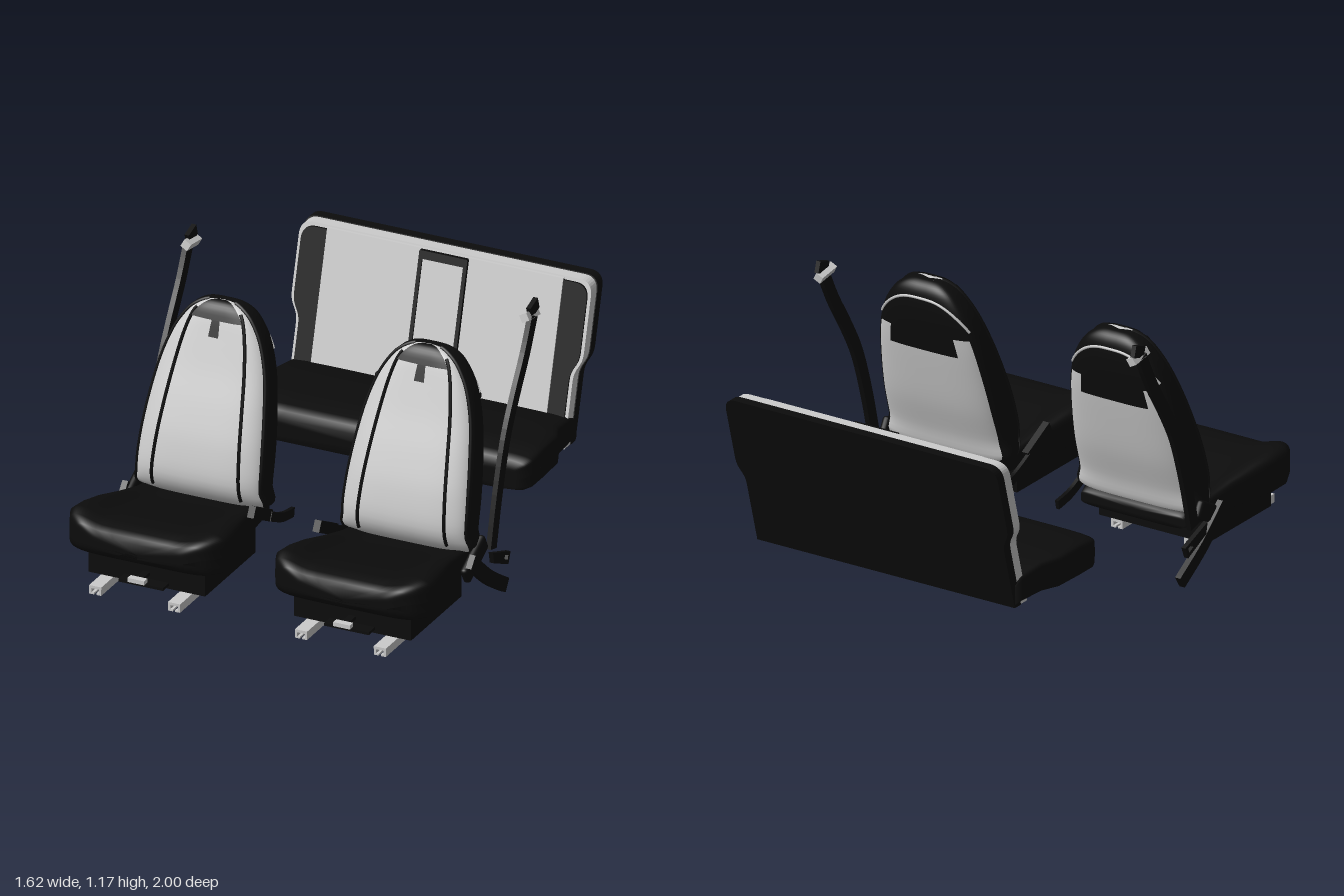
import * as THREE from 'three';
import { RoundedBoxGeometry } from 'three/addons/geometries/RoundedBoxGeometry.js';

const mat = (color) => new THREE.MeshStandardMaterial({ color, side: THREE.DoubleSide });
const GREY = mat(0xcccccc), BLACK = mat(0x0c0c0c);

function add(parent, name, geo, material, x = 0, y = 0, z = 0) {
  const m = new THREE.Mesh(geo, material);
  m.name = name;
  m.position.set(x, y, z);
  parent.add(m);
  return m;
}
const box = (w, h, d) => new THREE.BoxGeometry(w, h, d);
const pw = (v, e) => Math.sign(v) * Math.abs(v) ** e;

// Lofted body of superellipse sections; rows are [position, halfWidth, low, high]
function body(rows, e, place) {
  const cols = [0, 1, 2, 3].map((k) => new THREE.SplineCurve(rows.map((r, i) => new THREE.Vector2(i, r[k]))));
  return (a, t) => {
    const [s, w, lo, hi] = cols.map((c) => c.getPoint(t).y);
    return place(w * pw(Math.cos(a), e), s, (lo + hi) / 2 + ((hi - lo) / 2) * pw(Math.sin(a), e));
  };
}
// Piece of a body between two angles and two stations
function patch(f, a0, a1, t0, t1, na, nt) {
  const pos = [], idx = [];
  for (let j = 0; j <= nt; j++)
    for (let i = 0; i <= na; i++) {
      const p = f(a0 + ((a1 - a0) * i) / na, t0 + ((t1 - t0) * j) / nt);
      pos.push(p.x, p.y, p.z);
      if (i < na && j < nt) {
        const k = j * (na + 1) + i, n = k + na + 1;
        idx.push(k, n, k + 1, k + 1, n, n + 1);
      }
    }
  const g = new THREE.BufferGeometry();
  g.setAttribute('position', new THREE.Float32BufferAttribute(pos, 3));
  g.setIndex(idx);
  g.computeVertexNormals();
  return g;
}
function piping(n, r, fn) {
  const pts = Array.from({ length: n + 1 }, (_, i) => fn(i / n));
  return new THREE.TubeGeometry(new THREE.CatmullRomCurve3(pts), n * 2, r, 6);
}
// Flat strap following [z, y] points, thin in x
function strap(path, width, thick) {
  const c = new THREE.SplineCurve(path.map((p) => new THREE.Vector2(...p)));
  const n = path.length > 2 ? 20 : 1, left = [], right = [];
  for (let i = 0; i <= n; i++) {
    const p = c.getPoint(i / n), t = c.getTangent(i / n);
    const o = new THREE.Vector2(-t.y, t.x).multiplyScalar(width / 2);
    left.push(p.clone().add(o));
    right.unshift(p.clone().sub(o));
  }
  const g = new THREE.ExtrudeGeometry(new THREE.Shape([...left, ...right]), { depth: thick, bevelEnabled: false });
  return g.translate(0, 0, -thick / 2).rotateY(-Math.PI / 2);
}

const BACK = [[.27, 0, .34, .36], [.27, .28, .29, .41], [.36, .29, .265, .46], [.5, .285, .215, .44],
  [.65, .27, .175, .39], [.8, .245, .14, .33], [.92, .205, .12, .285], [1, .155, .118, .255],
  [1.04, .11, .13, .235], [1.06, .06, .155, .21], [1.06, 0, .18, .185]];
const CUSHION = [[.98, 0, .28, .3], [.98, .2, .24, .345], [.965, .28, .22, .365], [.935, .325, .2, .378],
  [.88, .35, .185, .385], [.8, .345, .18, .378], [.7, .325, .18, .362], [.58, .292, .18, .34],
  [.45, .27, .18, .315], [.32, .26, .19, .28], [.28, .25, .2, .26], [.28, 0, .22, .24]];
const BENCH = [[-.27, 0, .28, .29], [-.27, .62, .235, .335], [-.285, .66, .23, .365], [-.32, .678, .23, .38],
  [-.42, .68, .23, .392], [-.55, .675, .23, .388], [-.63, .64, .23, .38], [-.76, .63, .23, .362],
  [-.81, .63, .23, .34], [-.81, 0, .28, .29]];

// side = +1 or -1, the outer side of the car
function frontSeat(side) {
  const g = new THREE.Group();
  g.name = side > 0 ? 'leftFrontSeat' : 'rightFrontSeat';
  g.position.x = side * .462;
  const P = Math.PI, E = .6;

  // Cushion, hollowed between its bolsters
  const cushion = body(CUSHION, .35, (x, s, d) => new THREE.Vector3(
    x, d - (d > .28 ? .04 * (1 - THREE.MathUtils.smoothstep(Math.abs(x), .16, .32)) : 0), s));
  add(g, 'cushion', patch(cushion, 0, 2 * P, 0, 1, 72, CUSHION.length - 1), BLACK);

  // Backrest: grey front and rear panels, black sides and crown
  const back = body(BACK, E, (x, s, d) => new THREE.Vector3(x, s, d));
  const shifted = (dy, dz) => (a, t) => back(a, t).add(new THREE.Vector3(0, dy, dz));
  const A = .4, R = .55, T = .53;
  add(g, 'backrestFront', patch(back, A, P - A, .1, 1, 40, 40), GREY);
  add(g, 'backrestSideLeft', patch(back, -R, A, .1, 1, 16, 40), BLACK);
  add(g, 'backrestSideRight', patch(back, P - A, P + R, .1, 1, 16, 40), BLACK);
  add(g, 'backrestRear', patch(back, P + R, 2 * P - R, .1, T, 30, 20), GREY);
  add(g, 'backrestCrown', patch(back, P + R, 2 * P - R, T, 1, 30, 20), BLACK);
  add(g, 'backrestBottom', patch(back, 0, 2 * P, 0, .1, 40, 2), BLACK);
  add(g, 'rearFlap', patch(shifted(0, -.005), 1.5 * P - .5, 1.5 * P + .5, .47, .56, 12, 4), BLACK);
  add(g, 'crownPatch', patch(shifted(.004, .005), P / 2 - .6, P / 2 + .6, .69, .96, 12, 8), BLACK);
  add(g, 'crownTab', patch(shifted(.003, .005), P / 2 - .026, P / 2 + .026, .61, .7, 4, 4), BLACK);
  for (const s of [1, -1]) {
    add(g, 'outerPiping', piping(24, .008, (t) => back(s > 0 ? A : P - A, .12 + .78 * t)), BLACK);
    add(g, 'innerPiping', piping(24, .008, (t) => {
      const v = .15 + .62 * t, w = back(0, v).x, x = .197 - .1 * t ** 1.6;
      const a = Math.acos(Math.min(1, x / w) ** (1 / E));
      return back(s > 0 ? a : P - a, v);
    }), BLACK);
  }
  add(g, 'rearTrim', piping(16, .006, (t) => back(P + .4 + (P - .8) * t, .56 + .13 * Math.sin(P * t))), GREY);

  // Base, slide rails and release lever
  add(g, 'base', box(.525, .13, .46), BLACK, 0, .157, .66);
  for (const x of [-.177, .177]) {
    add(g, 'railTop', box(.055, .012, .57), GREY, x, .086, .715);
    for (const s of [-1, 1]) {
      add(g, 'railWall', box(.01, .035, .57), GREY, x + s * .022, .072, .715);
      add(g, 'railLip', box(.018, .008, .57), GREY, x + s * .014, .058, .715);
    }
  }
  add(g, 'lever', box(.075, .018, .03), GREY, 0, .146, .975);
  add(g, 'leverArm', box(.03, .014, .12), BLACK, 0, .142, .92);
  add(g, 'leverBar', box(.2, .012, .07), BLACK, 0, .112, .91);

  // Shoulder belt with its upper guide
  const ox = side * .31;
  add(g, 'shoulderBelt', strap([[-.12, 1.12], [-.05, .98], [.05, .82], [.13, .67], [.2, .46], [.255, .24]], .055, .022), BLACK, ox);
  add(g, 'beltTop', box(.02, .05, .07), BLACK, ox - side * .005, 1.148, -.133).rotation.x = .3;
  const guide = add(g, 'beltGuide', box(.035, .034, .105), GREY, ox - side * .012, 1.12, -.12);
  guide.rotation.set(-.15, 0, side * .5);

  // Outer anchor strap and latch with a slot
  add(g, 'anchorStrap', strap([[.46, .27], [.31, .14], [.15, .035]], .06, .026), BLACK, side * .318);
  const latch = new THREE.Shape([[.31, .25], [.3, .2], [.17, .14], [.15, .19]].map((p) => new THREE.Vector2(...p)));
  latch.holes.push(new THREE.Path([[.2, .195], [.17, .182], [.178, .163], [.208, .177]].map((p) => new THREE.Vector2(...p))));
  add(g, 'latch', new THREE.ExtrudeGeometry(latch, { depth: .02, bevelEnabled: false }).rotateY(-P / 2), BLACK, side * .335 + .01);
  add(g, 'reclinerCover', new RoundedBoxGeometry(.035, .08, .2, 2, .015), BLACK, side * .3, .25, .39).rotation.x = .5;

  // Inner buckle stalk
  const ix = -side * .325;
  add(g, 'buckle', strap([[.575, .345], [.42, .265]], .05, .03), BLACK, ix + side * .01);
  add(g, 'buckleStalk', strap([[.43, .265], [.32, .215], [.22, .195]], .04, .016), BLACK, ix);
  return g;
}

function rearBench() {
  const g = new THREE.Group();
  g.name = 'rearBench';
  const cushion = body(BENCH, .2, (x, s, d) => new THREE.Vector3(x, d, s));
  add(g, 'benchCushion', patch(cushion, 0, 2 * Math.PI, 0, 1, 64, BENCH.length - 1), BLACK);

  // Slab leaning backwards; z is measured from the rear face
  const lean = (geo) => {
    const p = geo.attributes.position;
    for (let i = 0; i < p.count; i++) p.setZ(i, p.getZ(i) - .81 - (p.getY(i) - .23) * .279);
    geo.computeVertexNormals();
    return geo;
  };
  const outline = (inset) => {
    const s = new THREE.Shape(), w = .66 - inset, l = .625 - inset, top = .91 - inset;
    s.moveTo(-l, .23);
    s.lineTo(l, .23);
    s.lineTo(l, .5);
    s.bezierCurveTo(l, .56, w, .56, w, .62);
    s.lineTo(w, top - .06);
    s.quadraticCurveTo(w, top, w - .06, top);
    s.lineTo(-w + .06, top);
    s.quadraticCurveTo(-w, top, -w, top - .06);
    s.lineTo(-w, .62);
    s.bezierCurveTo(-w, .56, -l, .56, -l, .5);
    return s;
  };
  const slab = (inset, z, depth) => lean(new THREE.ExtrudeGeometry(outline(inset), { depth, bevelEnabled: false, curveSegments: 8 }).translate(0, 0, z));
  const panel = (w, y0, y1, z, d) => lean(box(w, y1 - y0, d).translate(0, (y0 + y1) / 2, z));
  add(g, 'benchRearShell', slab(0, 0, .045), BLACK);
  add(g, 'benchGreyRim', slab(.004, .045, .05), GREY);
  add(g, 'benchSidePanels', slab(.018, .095, .008), BLACK);
  add(g, 'benchFrontPanel', panel(1.06, .3, .9, .099, .016), GREY);

  // Centre armrest in a black frame
  add(g, 'armrestPanel', panel(.19, .4, .88, .108, .014), GREY);
  for (const s of [-1, 1]) add(g, 'armrestFrame', panel(.016, .38, .895, .11, .024), BLACK, s * .1);
  add(g, 'armrestTop', panel(.212, .865, .898, .11, .024), BLACK);
  add(g, 'armrestHinge', panel(.23, .35, .415, .115, .035), BLACK);
  for (const s of [-1, 1]) add(g, 'benchBuckle', new RoundedBoxGeometry(.07, .03, .04, 2, .01), BLACK, s * .2, .375, -.74);
  return g;
}

export function createModel() {
  const model = new THREE.Group();
  model.name = 'carSeats';
  model.add(frontSeat(1), frontSeat(-1), rearBench());
  return model;
}
